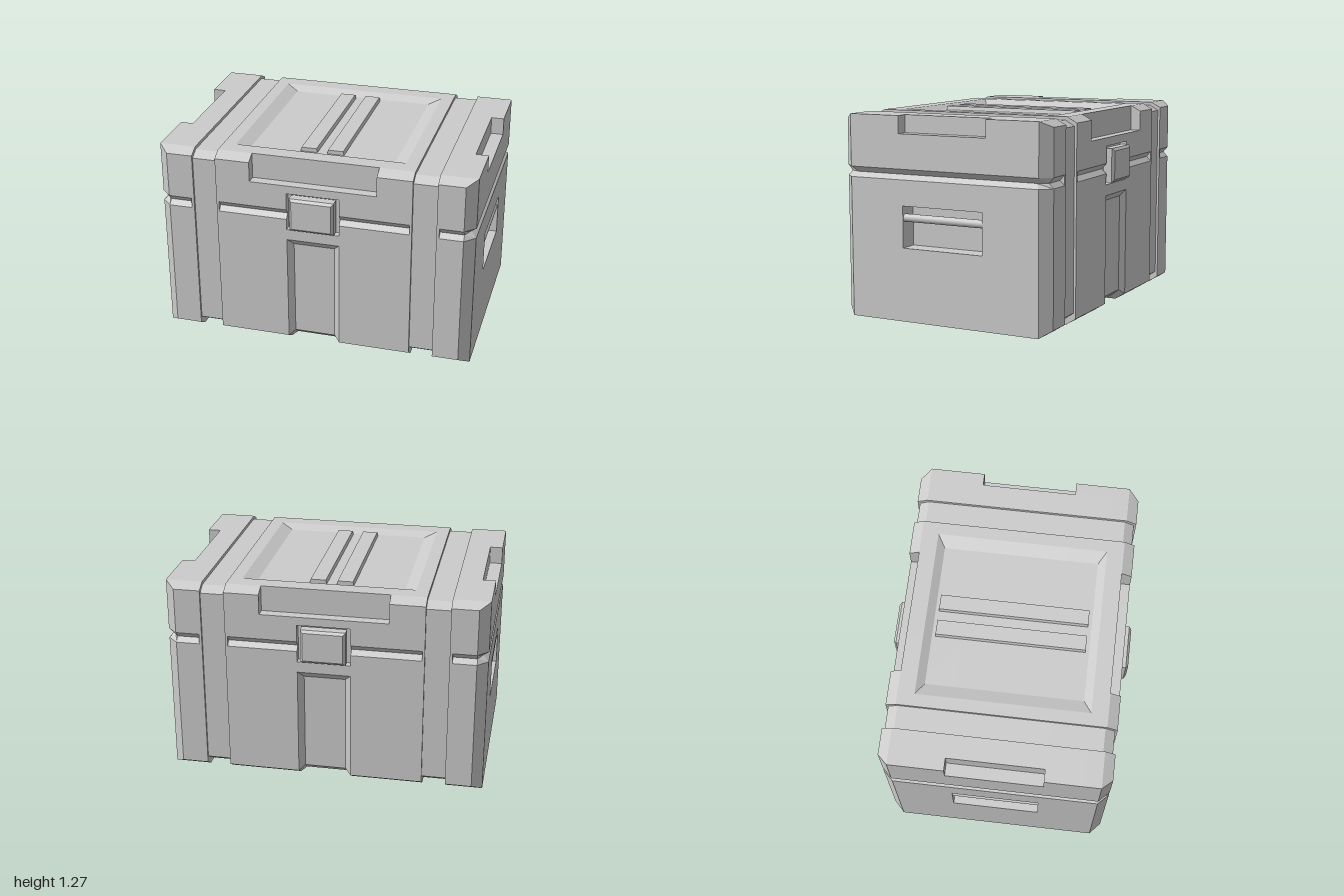
import * as THREE from 'three';

const TOP = 1.27, HX = 1, HZ = 0.71, CH = 0.065;      // height, half length, half depth, chamfer
const SEAM = [0.945, 0.91, 0.88];                     // upper lip, bottom and lower lip of the lid seam

const grey = (extra = {}) => new THREE.MeshStandardMaterial({ color: 0xcccccc, flatShading: true, ...extra });

function addMesh(parent, name, geometry, material = grey()) {
  const mesh = new THREE.Mesh(geometry, material);
  mesh.name = name;
  parent.add(mesh);
  return mesh;
}

// Geometry from a list of quads, leaving out collapsed triangles
function fromQuads(quads) {
  const pos = [], tri = new THREE.Triangle();
  for (const [a, b, c, d] of quads) {
    for (const t of [[a, b, c], [a, c, d]]) {
      tri.set(...t);
      if (tri.getArea() > 1e-7) t.forEach((p) => pos.push(p.x, p.y, p.z));
    }
  }
  const g = new THREE.BufferGeometry();
  g.setAttribute('position', new THREE.Float32BufferAttribute(pos, 3));
  g.computeVertexNormals();
  return g;
}

// Front half of the cross-section at x, from the top middle down to the bottom
function halfSection(x, o) {
  const { strap = 0, seam = 0, notch = 0, latch = 0, channel = 0, panel = 0, grip = 0, end = 0 } = o;
  const top = TOP - 0.02 * strap, z = HZ - 0.015 * strap, zi = HZ - CH - 0.01 * strap;
  const low = 0.035 * strap + channel;
  const floor = top - 0.03 * panel;
  const face = end ? zi : z;
  const pocket = latch ? 0.665 : face;
  const lip = latch ? pocket : face;
  const pts = [
    [0.3, grip ? 1.16 : floor], [0.3, floor],                       // side grip notch
    [0.54 - 0.05 * panel, floor], [0.54, top],                      // sunken top panel
    [zi, top], [zi, notch ? 1.108 : top],                           // front notch
    [face, notch ? 1.108 : end ? top : top - 0.035],
    [face, 1.055], [pocket, 1.055],                                 // latch pocket
    [lip, SEAM[0]], [latch ? pocket : face - 0.03 * seam, SEAM[1]], [lip, SEAM[2]],
    [pocket, 0.81], [face, 0.81],
    [face, 0.74], [face - channel, 0.74 - channel * 1.3],           // centre channel
    [face - channel, end ? 0 : low + 0.042], [zi - channel * 0.5, low],
  ];
  return pts.map(([pz, py], i) => new THREE.Vector3(end && i === 10 ? x - 0.035 : x, py, pz));
}

// Stations from the middle to the end; a repeated x makes an upright wall
const STATIONS = [
  [0.13, { seam: 1, notch: 1, latch: 1, channel: 0.03, panel: 1 }],
  [0.167, { seam: 1, notch: 1, latch: 1, panel: 1 }],
  [0.167, { seam: 1, notch: 1, panel: 1 }],
  [0.4, { seam: 1, notch: 1, panel: 1 }],
  [0.4, { seam: 1, panel: 1 }],
  [0.46, { seam: 1, panel: 1 }],
  [0.54, { seam: 1 }],
  [0.605, { seam: 1 }],
  [0.605, {}],
  [0.62, {}],
  [0.62, { strap: 1 }],
  [0.77, { strap: 1 }],
  [0.77, {}],
  [0.787, {}],
  [0.787, { seam: 1 }],
  [0.92, { seam: 1 }],
  [0.92, { seam: 1, grip: 1 }],
  [0.935, { seam: 1, grip: 1 }],
  [HX, { seam: 1, grip: 1, end: 1 }],
];

function bodyGeometry() {
  const flip = (p, sx, sz) => new THREE.Vector3(p.x * sx, p.y, p.z * sz);
  const ring = ([x, o], sx) => {
    const half = halfSection(x, o).map((p) => flip(p, sx, 1));
    return [...half, ...half.map((p) => flip(p, 1, -1)).reverse()];
  };
  const rings = [
    ...[...STATIONS].reverse().map((s) => ring(s, -1)),
    ...STATIONS.map((s) => ring(s, 1)),
  ];
  const quads = [];
  for (let s = 0; s < rings.length - 1; s++) {
    const A = rings[s], B = rings[s + 1];
    for (let i = 0; i < A.length; i++) {
      const j = (i + 1) % A.length;
      quads.push([A[i], A[j], B[j], B[i]]);
    }
  }
  return fromQuads(quads);
}

const polygon = (pts) => pts.map(([a, b]) => new THREE.Vector2(a, b));

// One end of the crate: lid face, seam, lower face with handle pocket and bar
function makeEnd() {
  const end = new THREE.Group();
  end.name = 'endPanel';
  const w = HZ - CH, pz = 0.275, p0 = 0.46, p1 = 0.72, depth = 0.12;

  const lid = new THREE.Shape(polygon([
    [-w, SEAM[0]], [w, SEAM[0]], [w, TOP], [0.3, TOP], [0.3, 1.16], [-0.3, 1.16], [-0.3, TOP], [-w, TOP],
  ]));
  const lower = new THREE.Shape(polygon([[-w, 0], [w, 0], [w, SEAM[2]], [-w, SEAM[2]]]));
  lower.holes.push(new THREE.Path(polygon([[-pz, p0], [-pz, p1], [pz, p1], [pz, p0]])));
  for (const [name, shape] of [['lidEndFace', lid], ['lowerEndFace', lower]]) {
    addMesh(end, name, new THREE.ShapeGeometry(shape).rotateY(Math.PI / 2).translate(HX, 0, 0));
  }

  // V-shaped seam across the end
  const line = (x, y, z) => [new THREE.Vector3(x, y, z), new THREE.Vector3(x, y, -z)];
  const [a, b] = line(HX, SEAM[0], w);
  const [c, d] = line(HX - 0.035, SEAM[1], w - 0.03);
  const [e, f] = line(HX, SEAM[2], w);
  addMesh(end, 'endSeam', fromQuads([[a, c, d, b], [c, e, f, d]]));

  // Open-fronted pocket
  const pocket = new THREE.BoxGeometry(depth, p1 - p0, pz * 2);
  pocket.setIndex(Array.from(pocket.index.array).slice(6));
  pocket.translate(HX - depth / 2, (p0 + p1) / 2, 0);
  addMesh(end, 'handlePocket', pocket, grey({ side: THREE.DoubleSide }));

  const bar = new THREE.CylinderGeometry(0.025, 0.025, pz * 2, 20, 1, true).rotateX(Math.PI / 2);
  addMesh(end, 'handleBar', bar, grey({ flatShading: false })).position.set(HX - 0.03, 0.645, 0);
  return end;
}

// Bevelled latch plate standing out of its pocket
function makeLatch() {
  const plate = new THREE.Shape(polygon([[-0.125, 0.838], [0.125, 0.838], [0.125, 1.022], [-0.125, 1.022]]));
  const geometry = new THREE.ExtrudeGeometry(plate, {
    depth: 0.055, bevelEnabled: true, bevelThickness: 0.015, bevelSize: 0.016, bevelSegments: 1,
  });
  const latch = new THREE.Group();
  latch.name = 'latch';
  addMesh(latch, 'latchPlate', geometry.translate(0, 0, 0.68));
  return latch;
}

export function createModel() {
  const crate = new THREE.Group();
  crate.name = 'storageCrate';
  addMesh(crate, 'body', bodyGeometry());

  // Ends and latches repeat when turned half a circle
  for (const angle of [0, Math.PI]) {
    for (const part of [makeEnd(), makeLatch()]) {
      part.rotation.y = angle;
      crate.add(part);
    }
  }

  // Two tapered ribs on the sunken top panel
  for (const x of [-0.09, 0.08]) {
    const rib = new THREE.BoxGeometry(0.11, 0.03, 0.935);
    const p = rib.attributes.position;
    for (let i = 0; i < p.count; i++) if (p.getY(i) > 0) p.setX(i, p.getX(i) * 0.87);
    addMesh(crate, 'lidRib', rib).position.set(x, TOP - 0.02, 0);
  }
  return crate;
}
